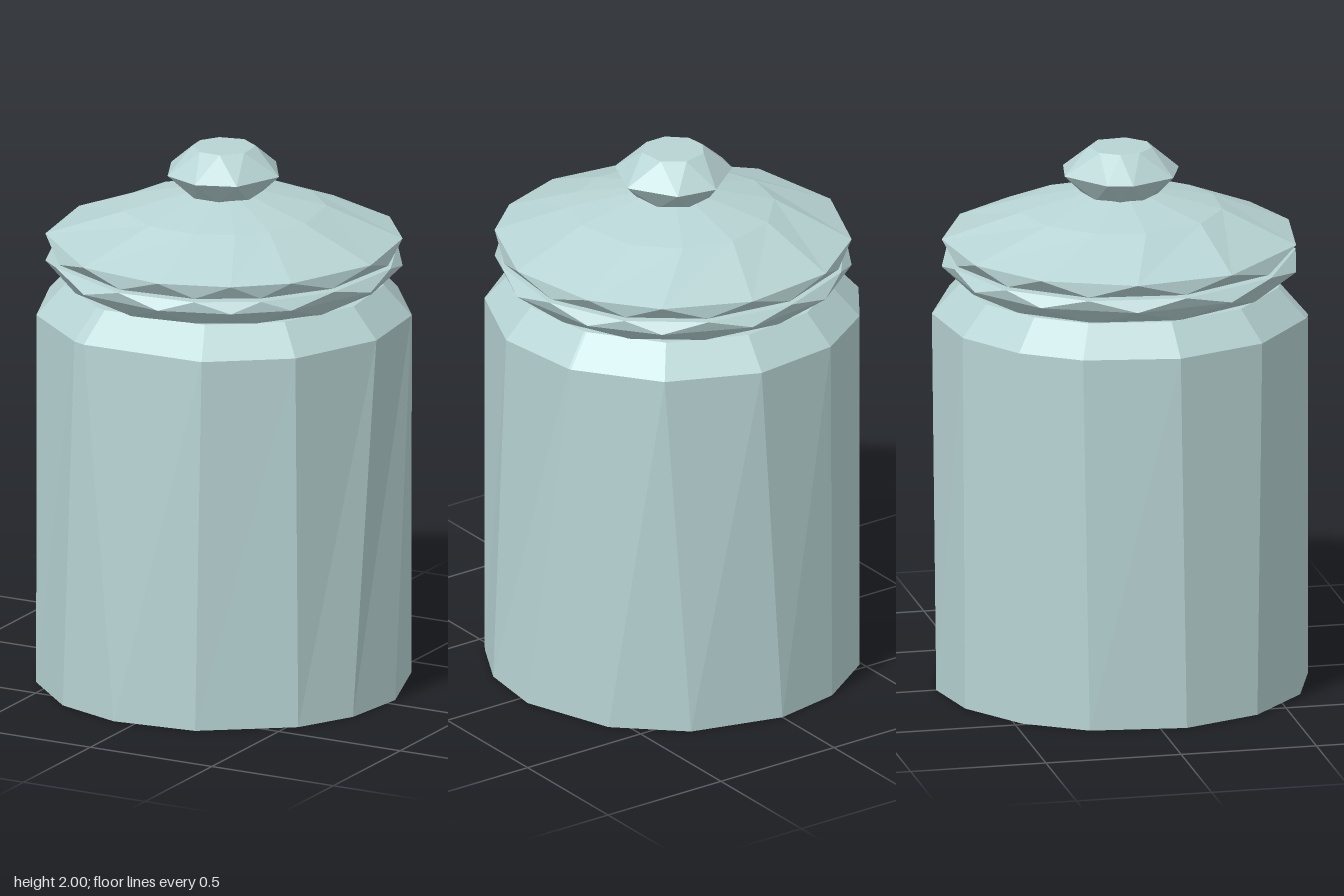
import * as THREE from 'three';

const glaze = new THREE.MeshStandardMaterial({ color: 0xb8d4d4 });
glaze.name = 'paleTealGlaze';

// Facet corner angles in degrees, measured from +x towards +z
const BASE = [18, 38, 70, 97, 120, 146, 172, 202, 224, 248, 270, 300, 325.5, 356];
const SHOULDER = [7.5, 39, 68, 109, 113.5, 144, 174, 204, 225, 249, 277.5, 308, 338, 339];
const LID = [6, 39, 59, 83, 113, 154, 187, 219, 247, 279, 309, 334];
const CROWN = [9, 35, 55, 78, 108, 141, 178, 206, 238, 270, 300, 330];
const KNOB = [-5, 49, 90, 131, 180, 205, 260, 301];

// Angles halfway between neighbours: +1 towards the next corner, -1 the previous
const between = (list, dir) => list.map((a, i) => {
  const j = i + dir, n = list.length;
  const other = j >= n ? list[0] + 360 : j < 0 ? list[n - 1] - 360 : list[j];
  return (a + other) / 2;
});

// Faceted solid skinned through rings [y, radius, angles], closed at both ends
function facetedLoft(name, rings) {
  const pts = rings.map(([y, r, angles]) => angles.map((deg) => {
    const a = THREE.MathUtils.degToRad(deg);
    return [r * Math.cos(a), y, r * Math.sin(a)];
  }));
  const n = pts[0].length, last = pts.length - 1, pos = [];
  const tri = (...corners) => corners.forEach((c) => pos.push(...c));
  for (let i = 0; i < last; i++) {
    for (let j = 0; j < n; j++) {
      const k = (j + 1) % n;
      tri(pts[i][j], pts[i + 1][j], pts[i][k]);
      tri(pts[i + 1][j], pts[i + 1][k], pts[i][k]);
    }
  }
  for (let j = 0; j < n; j++) {
    const k = (j + 1) % n;
    tri([0, rings[0][0], 0], pts[0][j], pts[0][k]);
    tri([0, rings[last][0], 0], pts[last][k], pts[last][j]);
  }
  const geometry = new THREE.BufferGeometry();
  geometry.setAttribute('position', new THREE.Float32BufferAttribute(pos, 3));
  geometry.computeVertexNormals();
  const mesh = new THREE.Mesh(geometry, glaze);
  mesh.name = name;
  return mesh;
}

export function createModel() {
  const jar = new THREE.Group();
  jar.name = 'lidded jar';

  // Body with slightly twisted facets and a sloping shoulder
  jar.add(facetedLoft('body', [
    [0, 0.68, BASE],
    [1.39, 0.682, SHOULDER],
    [1.5, 0.58, SHOULDER],
  ]));

  // Zigzag rim flaring out above the neck
  const half = between(LID, -1);
  jar.add(facetedLoft('rim', [
    [1.495, 0.56, half],
    [1.56, 0.645, LID],
    [1.6, 0.635, between(LID, 1)],
  ]));

  // Lid, resting just clear of the rim
  const lid = new THREE.Group();
  lid.name = 'lid';
  lid.add(facetedLoft('lidDome', [
    [1.61, 0.625, half],
    [1.662, 0.645, LID],
    [1.775, 0.37, CROWN],
    [1.833, 0.13, CROWN],
  ]));

  // Faceted knob
  lid.add(facetedLoft('knob', [
    [1.825, 0.135, between(KNOB, -1)],
    [1.91, 0.217, KNOB],
    [2.0, 0.115, between(KNOB, 1)],
  ]));
  jar.add(lid);
  return jar;
}
